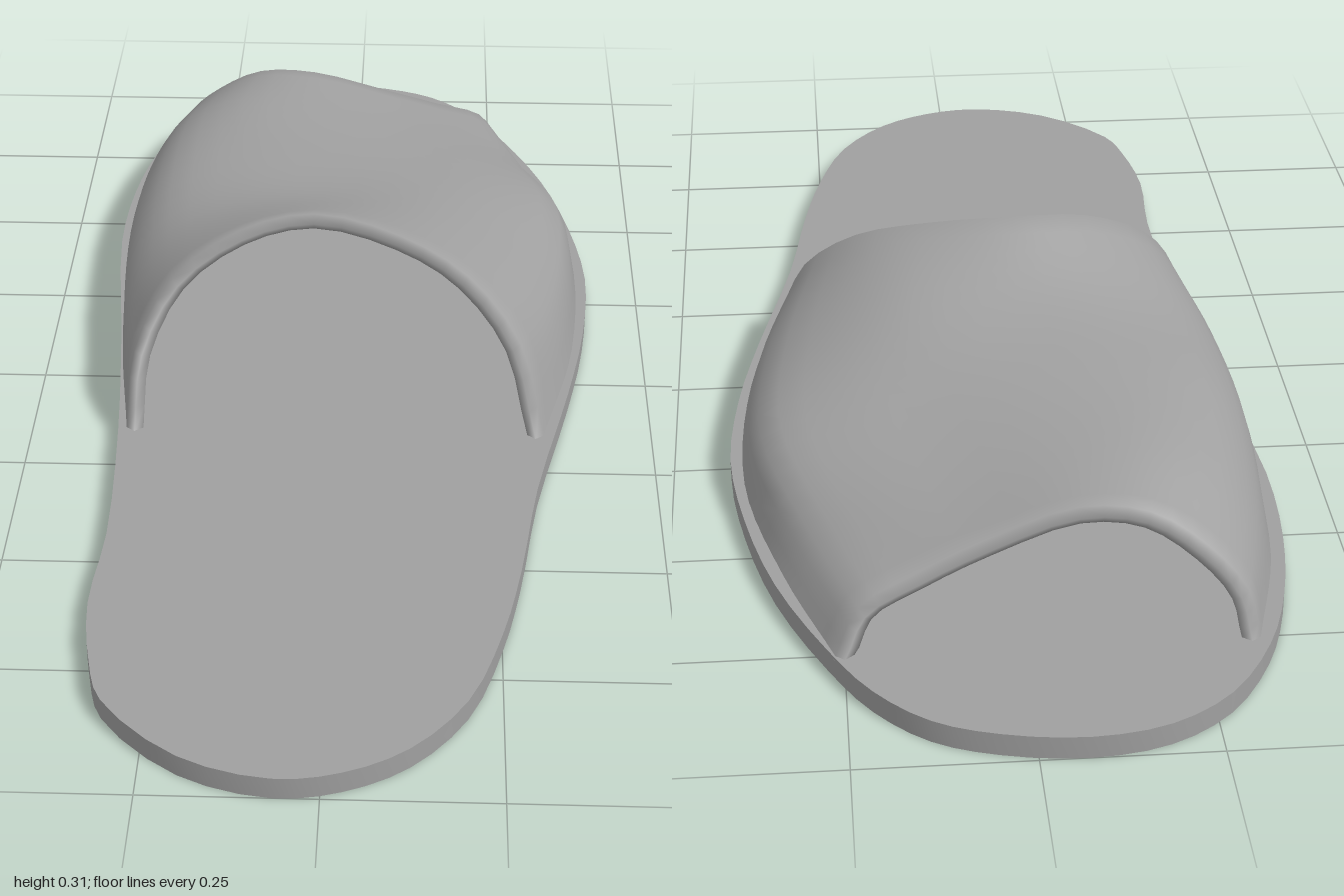
import * as THREE from 'three';
import { toCreasedNormals } from 'three/addons/utils/BufferGeometryUtils.js';

const SOLE = 0.035, THICK = 0.027, BULGE = 0.01, ACROSS = 24, ALONG = 20;

// Sole outline as [x, z], clockwise from the toe
const outline = [
  [-0.07, -1], [0.05, -0.985], [0.14, -0.95], [0.215, -0.88], [0.275, -0.78], [0.345, -0.62],
  [0.389, -0.45], [0.411, -0.28], [0.399, -0.1], [0.367, 0.08], [0.31, 0.34], [0.28, 0.545],
  [0.25, 0.69], [0.2, 0.835], [0.12, 0.935], [0.03, 0.985], [-0.065, 1], [-0.195, 0.96],
  [-0.31, 0.85], [-0.335, 0.77], [-0.352, 0.64], [-0.343, 0.475], [-0.355, 0.2], [-0.38, -0.08],
  [-0.411, -0.38], [-0.405, -0.555], [-0.38, -0.7], [-0.34, -0.815], [-0.27, -0.92], [-0.18, -0.98],
];

// Upper cross-sections from ankle opening to toe opening: z at the feet, z at the crest, [x, y] points
const sections = [
  { foot: 0.2, top: -0.02, pts: [[-0.342, 0.03], [-0.333, 0.135], [-0.275, 0.232], [-0.17, 0.292], [-0.05, 0.309], [0.09, 0.288], [0.2, 0.245], [0.285, 0.16], [0.325, 0.03]] },
  { foot: -0.05, top: -0.2, pts: [[-0.375, 0.03], [-0.365, 0.13], [-0.3, 0.2], [-0.18, 0.24], [-0.04, 0.247], [0.12, 0.243], [0.235, 0.207], [0.345, 0.135], [0.38, 0.03]] },
  { foot: -0.35, top: -0.4, pts: [[-0.393, 0.03], [-0.375, 0.13], [-0.31, 0.2], [-0.19, 0.227], [-0.04, 0.225], [0.12, 0.2], [0.25, 0.175], [0.36, 0.13], [0.39, 0.03]] },
  { foot: -0.6, top: -0.58, pts: [[-0.38, 0.03], [-0.355, 0.115], [-0.3, 0.18], [-0.2, 0.22], [-0.07, 0.215], [0.08, 0.178], [0.2, 0.145], [0.29, 0.1], [0.335, 0.03]] },
  { foot: -0.8, top: -0.715, pts: [[-0.33, 0.03], [-0.315, 0.095], [-0.26, 0.155], [-0.18, 0.203], [-0.08, 0.208], [0.05, 0.168], [0.15, 0.13], [0.23, 0.095], [0.265, 0.03]] },
];

function soleGeometry() {
  const points = outline.map(([x, z]) => new THREE.Vector3(x, -z, 0));
  const smooth = new THREE.CatmullRomCurve3(points, true).getPoints(90).slice(0, -1);
  const shape = new THREE.Shape(smooth.map((p) => new THREE.Vector2(p.x, p.y)));
  const geo = new THREE.ExtrudeGeometry(shape, { depth: SOLE, bevelEnabled: false });
  return toCreasedNormals(geo.rotateX(-Math.PI / 2), 0.7);
}

// Shell whose rows run back over the outer skin, round the toe rim,
// forward along the inner skin and round the ankle rim
function upperGeometry() {
  const columns = sections[0].pts.map((_, j) => new THREE.CatmullRomCurve3(
    sections.map(({ foot, top, pts }) => {
      const side = Math.abs(j / 4 - 1);
      return new THREE.Vector3(...pts[j], top + (foot - top) * side ** 1.45);
    })));
  const outer = [], inner = [];
  for (let i = 0; i <= ALONG; i++) {
    const curve = new THREE.CatmullRomCurve3(columns.map((c) => c.getPoint(i / ALONG)));
    outer.push(curve.getPoints(ACROSS));
    inner.push(outer[i].map((p, j) => {
      const d = curve.getTangent(j / ACROSS).setZ(0).normalize();
      return new THREE.Vector3(p.x + d.y * THICK, Math.max(0.03, p.y - d.x * THICK), p.z);
    }));
  }
  const rim = (i, dz) => outer[i].map((p, j) => {
    const mid = p.clone().lerp(inner[i][j], 0.5);
    return mid.setZ(mid.z + dz);
  });
  const rows = [...outer, rim(ALONG, -BULGE), ...inner.slice().reverse(), rim(0, BULGE)];
  const width = ACROSS + 1, index = [];
  rows.forEach((_, i) => {
    const next = (i + 1) % rows.length;
    for (let j = 0; j < ACROSS; j++) {
      const a = i * width + j, c = next * width + j;
      index.push(a, a + 1, c, a + 1, c + 1, c);
    }
  });
  const geo = new THREE.BufferGeometry().setFromPoints(rows.flat());
  geo.setIndex(index);
  geo.computeVertexNormals();
  return geo;
}

export function createModel() {
  const group = new THREE.Group();
  group.name = 'slipper';
  const material = new THREE.MeshStandardMaterial({ color: 0xa0a0a0, side: THREE.DoubleSide });
  const add = (name, geometry) => {
    const mesh = new THREE.Mesh(geometry, material);
    mesh.name = name;
    group.add(mesh);
  };
  add('sole', soleGeometry());
  add('upper', upperGeometry());
  return group;
}
